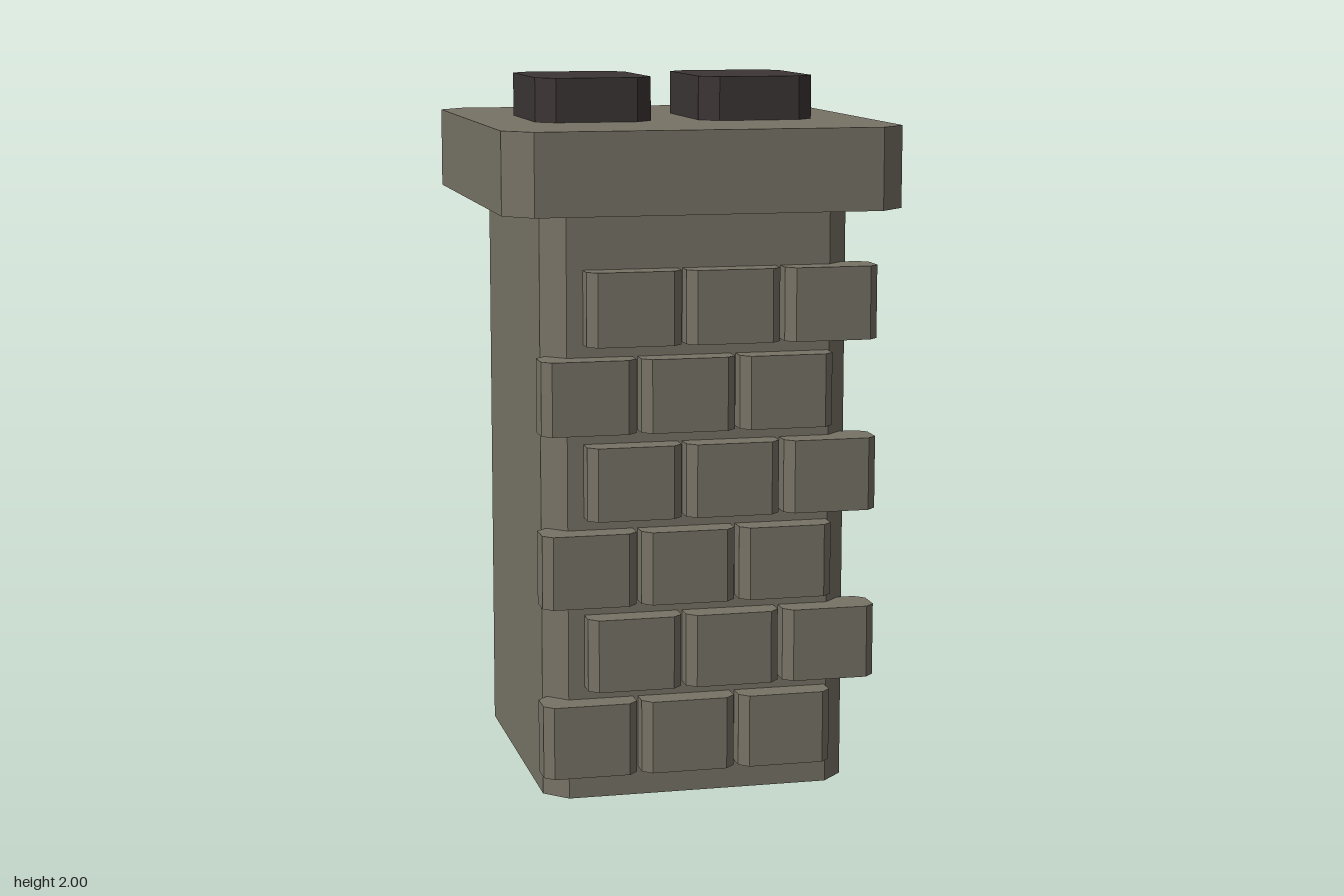
import * as THREE from 'three';

// Upright block with its four vertical edges cut off at 45 degrees
function chamferedBlock(name, material, w, d, c, y0, y1, x = 0, z = 0) {
  const a = w / 2, b = d / 2;
  const outline = new THREE.Shape([
    [a - c, -b], [a, -b + c], [a, b - c], [a - c, b],
    [-a + c, b], [-a, b - c], [-a, -b + c], [-a + c, -b],
  ].map(([px, py]) => new THREE.Vector2(px, py)));
  const geometry = new THREE.ExtrudeGeometry(outline, { depth: y1 - y0, bevelEnabled: false });
  geometry.rotateX(-Math.PI / 2);
  const mesh = new THREE.Mesh(geometry, material);
  mesh.name = name;
  mesh.position.set(x, y0, z);
  return mesh;
}

export function createModel() {
  const stone = new THREE.MeshStandardMaterial({ color: 0x777366 });
  stone.name = 'stone';
  const soot = new THREE.MeshStandardMaterial({ color: 0x3c3535 });
  soot.name = 'soot';

  const chimney = new THREE.Group();
  chimney.name = 'chimney';

  // Stack and overhanging cap
  chimney.add(chamferedBlock('stack', stone, 0.872, 0.94, 0.063, 0, 1.648));
  chimney.add(chamferedBlock('cap', stone, 1.12, 1.21, 0.076, 1.648, 1.876));

  // Pair of flues on the cap
  for (const side of [-1, 1]) {
    const name = side > 0 ? 'leftFlue' : 'rightFlue';
    chimney.add(chamferedBlock(name, soot, 0.332, 0.446, 0.05, 1.876, 2, side * 0.235));
  }

  // Staggered courses of bricks on the front
  const bricks = new THREE.Group();
  bricks.name = 'frontBricks';
  for (let row = 0; row < 6; row++) {
    const y = 0.081 + row * 0.241;
    const start = row % 2 ? -0.195 : -0.322;
    for (let i = 0; i < 3; i++) {
      bricks.add(chamferedBlock('brick', stone, 0.265, 0.125, 0.026, y, y + 0.205, start + i * 0.279, 0.484));
    }
  }
  chimney.add(bricks);
  return chimney;
}
